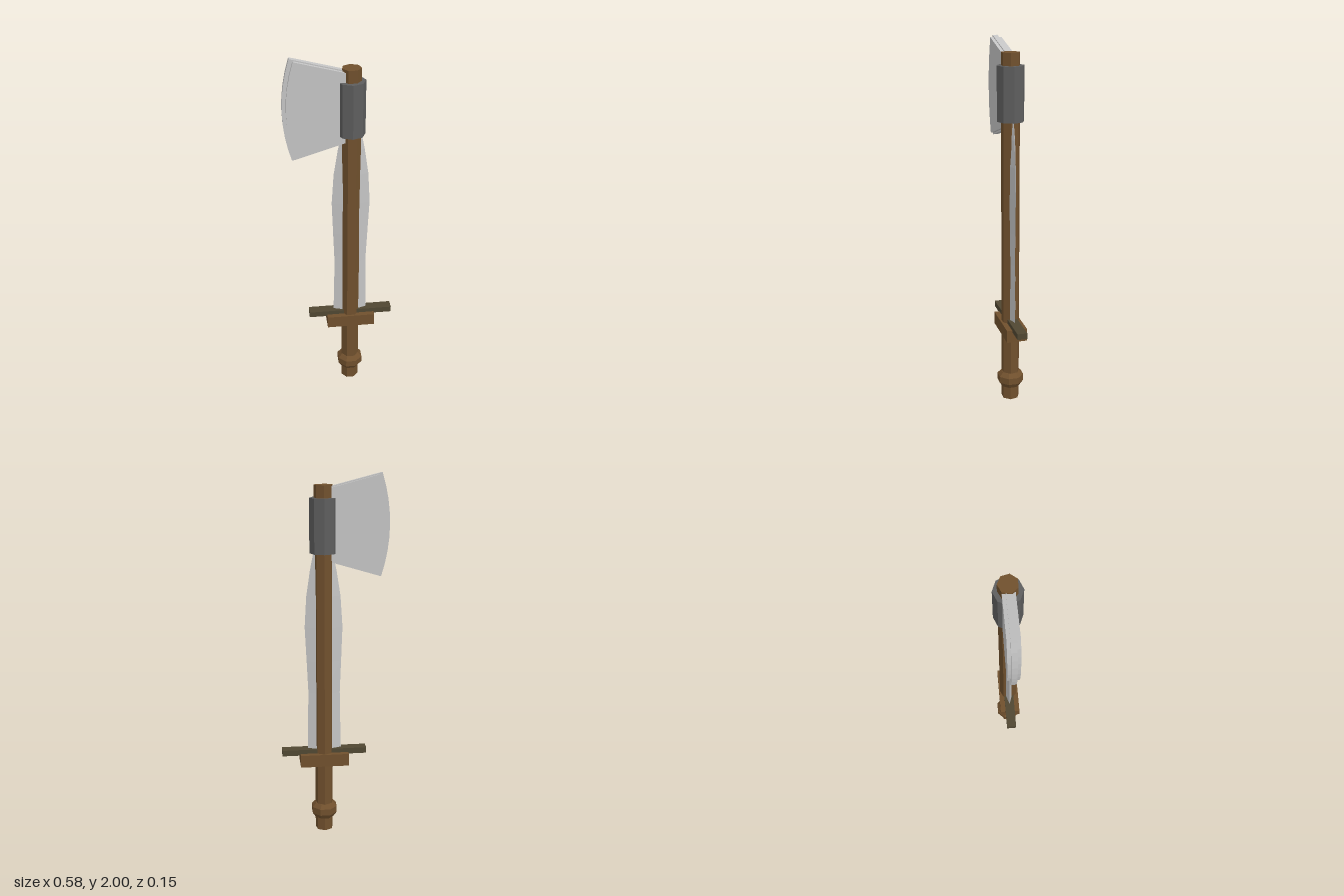
import * as THREE from 'three';

const AXIS = 0.055; // x of the shaft centre line

const mat = (name, color) => {
  const m = new THREE.MeshStandardMaterial({ color });
  m.name = name;
  return m;
};

// faceted normals
function flat(geo) {
  const g = geo.index ? geo.toNonIndexed() : geo;
  g.computeVertexNormals();
  return g;
}

// diamond cross-sections [y, left x, right x, half thickness] joined into a blade
function bladeGeometry(rows) {
  const pos = [], idx = [];
  for (const [y, l, r, t] of rows) {
    const c = (l + r) / 2;
    pos.push(l, y, 0, c, y, t, r, y, 0, c, y, -t);
  }
  for (let i = 0; i < rows.length - 1; i++) {
    for (let k = 0; k < 4; k++) {
      const a = i * 4 + k, b = i * 4 + (k + 1) % 4;
      idx.push(a, b, b + 4, a, b + 4, a + 4);
    }
  }
  idx.push(0, 3, 2, 0, 2, 1);
  const g = new THREE.BufferGeometry();
  g.setAttribute('position', new THREE.Float32BufferAttribute(pos, 3));
  g.setIndex(idx);
  return flat(g);
}

// axe head plate with a curved cutting edge
function axeGeometry(edgeX, bulge, top, bottom, neckTop, neckBottom, halfDepth) {
  const s = new THREE.Shape();
  s.moveTo(AXIS, neckBottom);
  s.lineTo(AXIS, neckTop);
  s.lineTo(edgeX, top);
  const n = 8;
  for (let i = 1; i <= n; i++) {
    const u = i / n;
    s.lineTo(edgeX - bulge * 4 * u * (1 - u), top + (bottom - top) * u);
  }
  s.closePath();
  const g = new THREE.ExtrudeGeometry(s, { depth: halfDepth * 2, bevelEnabled: false });
  return flat(g.translate(0, 0, -halfDepth));
}

export function createModel() {
  const model = new THREE.Group();
  const wood = mat('wood', 0x70502d);
  const olive = mat('darkOlive', 0x504732);
  const iron = mat('darkIron', 0x5e5e5e);
  const steel = mat('steel', 0xc4c4c4);

  const add = (name, geo, material, x = 0, y = 0) => {
    const mesh = new THREE.Mesh(geo, material);
    mesh.name = name;
    mesh.position.set(x, y, 0);
    model.add(mesh);
  };

  // seven-sided shaft, one corner at the back
  add('shaft', flat(new THREE.CylinderGeometry(0.05, 0.05, 1.94, 7, 1, false, Math.PI)), wood, AXIS, 0.97);

  // eight-sided pommel ring
  const ring = [[0.04, 0.075], [0.055, 0.075], [0.074, 0.103], [0.074, 0.14], [0.052, 0.162], [0.04, 0.162]]
    .map(([r, y]) => new THREE.Vector2(r, y));
  add('pommelRing', flat(new THREE.LatheGeometry(ring, 8, Math.PI / 8)), wood, AXIS);

  // two-layer guard
  add('guardBlock', new THREE.BoxGeometry(0.268, 0.07, 0.112), wood, AXIS, 0.435);
  add('guardBar', new THREE.BoxGeometry(0.47, 0.033, 0.054), olive, AXIS, 0.477);

  // leaf-shaped sword blade around the shaft
  add('swordBlade', bladeGeometry([
    [0.48, -0.04, 0.147, 0.03],
    [0.65, -0.036, 0.144, 0.03],
    [0.82, -0.033, 0.14, 0.03],
    [1.0, -0.04, 0.148, 0.03],
    [1.19, -0.047, 0.157, 0.03],
    [1.36, -0.036, 0.147, 0.03],
    [1.5, -0.014, 0.126, 0.028],
    [1.6, 0.006, 0.106, 0.024],
    [1.72, 0.054, 0.056, 0.002],
  ]), steel);

  // collar binding the axe head to the shaft
  add('collar', flat(new THREE.CylinderGeometry(0.073, 0.073, 0.285, 8)), iron, AXIS, 1.732);

  // thick axe body with a thinner cutting core standing proud of it
  add('axeBody', axeGeometry(-0.232, 0.041, 1.99, 1.475, 1.916, 1.563, 0.031), steel);
  add('axeEdge', axeGeometry(-0.25, 0.043, 2.0, 1.462, 1.922, 1.553, 0.014), steel);

  return model;
}
